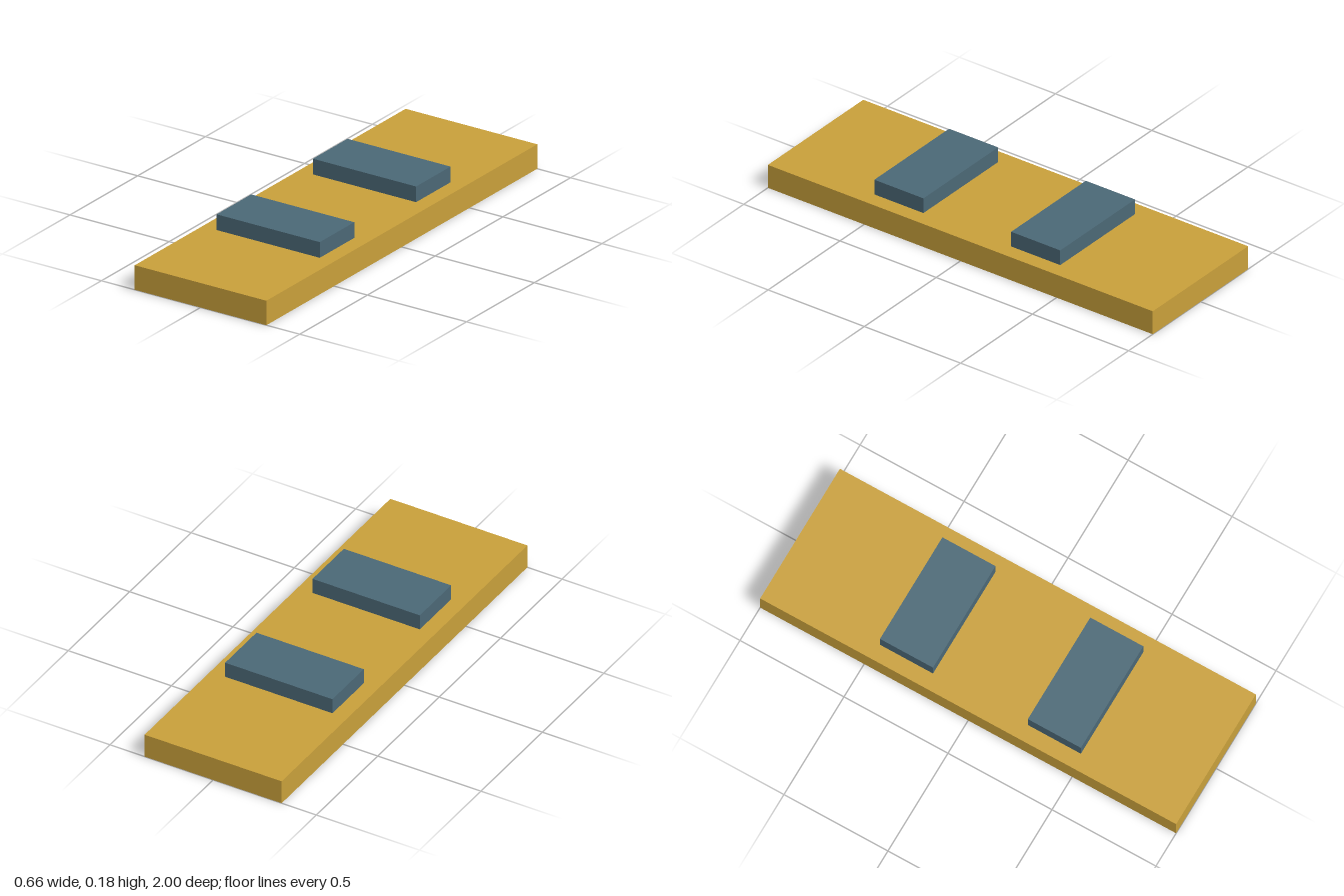
import * as THREE from 'three';

export function createModel() {
  const model = new THREE.Group();
  const ochre = new THREE.MeshStandardMaterial({ name: 'ochre', color: 0xc9a03b });
  const slate = new THREE.MeshStandardMaterial({ name: 'slate blue', color: 0x4b6876 });

  // Box resting with its underside at height y
  function addBox(name, material, width, height, depth, y, z) {
    const mesh = new THREE.Mesh(new THREE.BoxGeometry(width, height, depth), material);
    mesh.name = name;
    mesh.position.set(0, y + height / 2, z);
    model.add(mesh);
  }

  // Long flat slab
  const slabHeight = 0.111;
  addBox('baseSlab', ochre, 0.664, slabHeight, 2, 0, 0);

  // Two raised crosswise blocks
  addBox('frontBlock', slate, 0.52, 0.071, 0.255, slabHeight, 0.373);
  addBox('backBlock', slate, 0.52, 0.071, 0.255, slabHeight, -0.338);

  return model;
}
